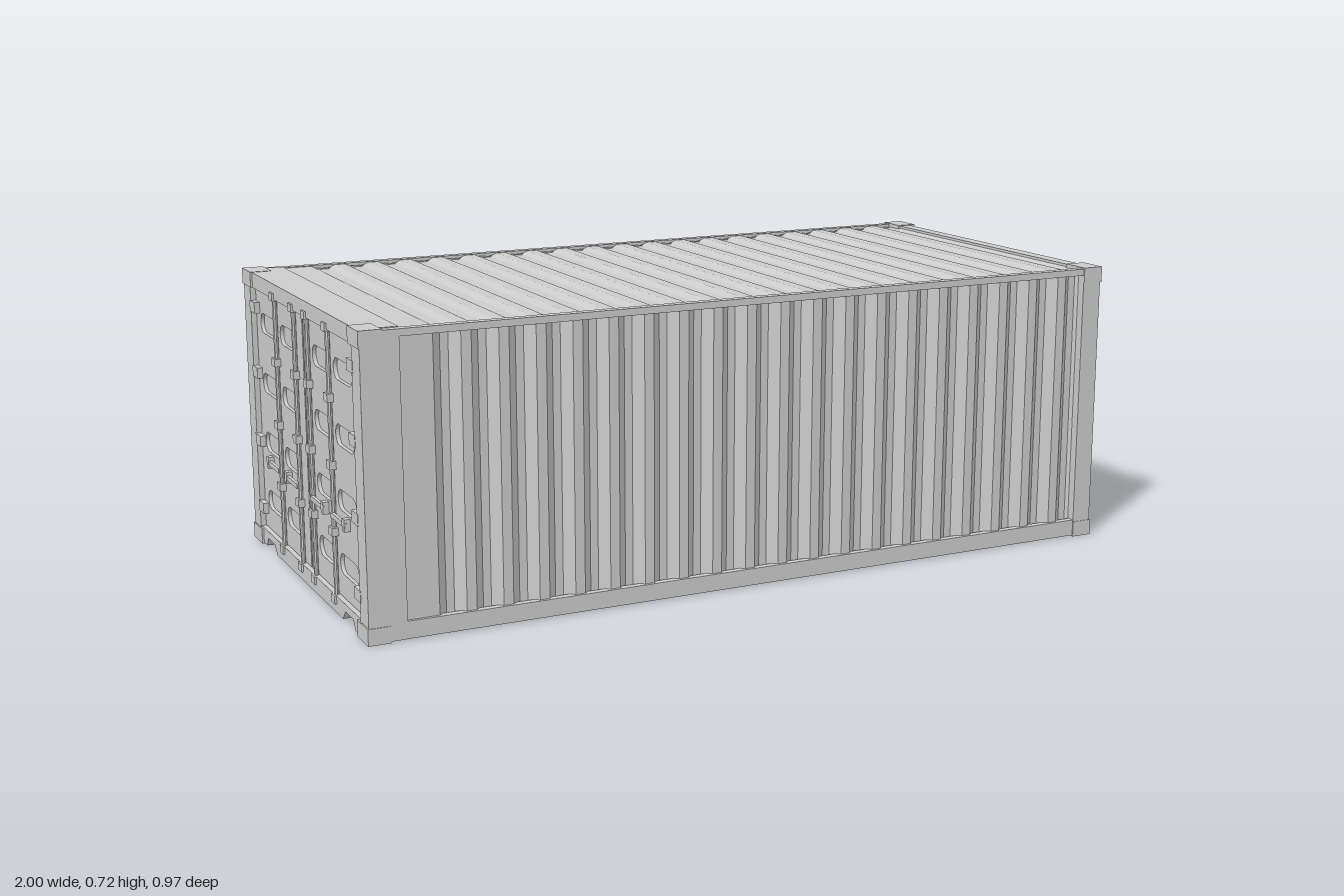
import * as THREE from 'three';

const mat = new THREE.MeshStandardMaterial({ color: 0xcccccc, flatShading: true, side: THREE.DoubleSide });
const H = 0.72, W = 0.483;

function add(group, name, geometry) {
  const mesh = new THREE.Mesh(geometry, mat);
  mesh.name = name;
  group.add(mesh);
  return mesh;
}

// Box given by its low and high corners
function box(group, name, x0, x1, y0, y1, z0, z1) {
  const g = new THREE.BoxGeometry(x1 - x0, y1 - y0, Math.abs(z1 - z0));
  g.translate((x0 + x1) / 2, (y0 + y1) / 2, (z0 + z1) / 2);
  return add(group, name, g);
}

// Trapezoid wave as [along, depth] pairs; each dip is centred on start + k * pitch
function wave(from, to, start, pitch, count, flat, slope, depth) {
  const pts = [[from, 0]];
  for (let k = 0; k < count; k++) {
    const c = start + k * pitch, a = flat / 2, b = a + slope;
    pts.push([c - b, 0], [c - a, -depth], [c + a, -depth], [c + b, 0]);
  }
  pts.push([to, 0]);
  return pts;
}

// Thin pressed sheet: the wave, mapped to 2D and closed by an inner copy
function sheet(pts, map, length) {
  const t = 0.004;
  const outer = pts.map(([u, d]) => map(u, d));
  const inner = pts.map(([u, d]) => map(u, d - t)).reverse();
  const shape = new THREE.Shape([...outer, ...inner].map(([x, y]) => new THREE.Vector2(x, y)));
  return new THREE.ExtrudeGeometry(shape, { depth: length, bevelEnabled: false });
}

// Shape drawn in (z, y), its outer face at x, thickness running inwards to +x
function endPlate(shape, x, thickness) {
  const g = new THREE.ExtrudeGeometry(shape, { depth: thickness, bevelEnabled: false, curveSegments: 6 });
  return g.rotateY(-Math.PI / 2).translate(x + thickness, 0, 0);
}

function slot(z0, z1, y, h) {
  const r = h / 2, p = new THREE.Path();
  p.moveTo(z0 + r, y - r);
  p.lineTo(z1 - r, y - r);
  p.absarc(z1 - r, y, r, -Math.PI / 2, Math.PI / 2, false);
  p.lineTo(z0 + r, y + r);
  p.absarc(z0 + r, y, r, Math.PI / 2, Math.PI * 1.5, false);
  return p;
}

function buildFrame() {
  const g = new THREE.Group();
  g.name = 'frame';
  for (const s of [-1, 1]) {
    // Corner fittings
    for (const y of [0, H - 0.04]) {
      box(g, 'cornerFitting', 0.945, 1, y, y + 0.04, s * 0.405, s * W);
      box(g, 'cornerFitting', -1, -0.945, y, y + 0.04, s * 0.405, s * W);
    }
    // Posts: stepped at the closed end, wide at the door end
    box(g, 'cornerPost', 0.945, 0.997, 0.04, H - 0.04, s * 0.422, s * 0.481);
    box(g, 'cornerPostStep', 0.945, 0.982, 0.04, 0.7, s * 0.38, s * 0.422);
    box(g, 'doorPost', -0.997, -0.905, 0.003, H - 0.003, s * 0.422, s * 0.481);
    // Long rails
    box(g, 'bottomSideRail', -0.95, 0.95, 0.003, 0.045, s * 0.462, s * 0.48);
    box(g, 'topSideRail', -0.95, 0.95, 0.7, 0.717, s * 0.458, s * 0.48);
  }
  // Cross rails
  box(g, 'endBottomRail', 0.96, 0.985, 0.003, 0.04, -0.41, 0.41);
  box(g, 'endTopRail', 0.95, 0.985, 0.7, 0.718, -0.41, 0.41);
  box(g, 'doorHeader', -0.995, -0.96, 0.68, 0.718, -0.42, 0.42);
  box(g, 'headerPlate', -0.995, -0.9, 0.71, 0.719, -0.46, 0.46);
  // Door sill, notched near both corners
  const sill = [[-0.42, 0.003], [-0.375, 0.003], [-0.36, 0.026], [-0.3, 0.026], [-0.28, 0.003]];
  const mirrored = sill.map(([z, y]) => [-z, y]).reverse();
  const outline = [...sill, ...mirrored, [0.42, 0.045], [-0.42, 0.045]];
  add(g, 'doorSill', endPlate(new THREE.Shape(outline.map(p => new THREE.Vector2(...p))), -0.995, 0.025));
  return g;
}

function buildPanels() {
  const g = new THREE.Group();
  g.name = 'panels';
  // Side walls
  const side = wave(-0.92, 0.96, -0.792, 0.0905, 20, 0.02, 0.023, 0.02);
  for (const s of [-1, 1]) {
    const geo = sheet(side, (u, d) => [u, -s * (0.472 + d)], 0.67);
    add(g, 'sideWall', geo.rotateX(-Math.PI / 2).translate(0, 0.04, 0));
  }
  // Closed end wall
  const end = wave(-0.4, 0.4, -0.33, 0.109, 7, 0.034, 0.022, 0.02);
  const endGeo = sheet(end, (u, d) => [0.976 + d, -u], 0.67);
  add(g, 'endWall', endGeo.rotateX(-Math.PI / 2).translate(0, 0.035, 0));
  // Roof, pressed with shallow cross channels
  const roof = wave(-0.93, 0.965, -0.792, 0.0905, 20, 0.026, 0.018, 0.008);
  add(g, 'roof', sheet(roof, (u, d) => [u, 0.715 + d], 0.93).translate(0, 0, -0.465));
  // Raised floor
  box(g, 'floor', -0.975, 0.965, 0.026, 0.036, -0.465, 0.465);
  return g;
}

function buildDoor(s) {
  const g = new THREE.Group();
  g.name = s > 0 ? 'leftDoor' : 'rightDoor';
  const a = 0.004, b = 0.418;
  const leaf = new THREE.Shape([[s * a, 0.047], [s * b, 0.047], [s * b, 0.678], [s * a, 0.678]]
    .map(p => new THREE.Vector2(...p)));
  // Pressed slots between the locking bars
  for (const y of [0.13, 0.285, 0.44, 0.595])
    for (const [i, o] of [[0.075, 0.2], [0.24, 0.38]])
      leaf.holes.push(slot(Math.min(s * i, s * o), Math.max(s * i, s * o), y, 0.05));
  add(g, 'doorLeaf', endPlate(leaf, -0.984, 0.01));
  box(g, 'doorBacking', -0.975, -0.968, 0.045, 0.68, s * 0.002, s * 0.42);
  // Locking bars with keepers, guides and handles
  for (const z of [0.055, 0.22]) {
    const bar = add(g, 'lockingBar', new THREE.CylinderGeometry(0.006, 0.006, 0.66, 8));
    bar.position.set(-0.99, 0.362, s * z);
    for (const y of [0.035, 0.2, 0.36, 0.52, 0.685])
      box(g, 'barGuide', -1, -0.982, y - 0.01, y + 0.01, s * (z - 0.014), s * (z + 0.014));
    box(g, 'handle', -0.998, -0.99, 0.234, 0.246, s * z, s * (z + 0.11));
    box(g, 'handleCatch', -0.999, -0.982, 0.225, 0.255, s * (z + 0.09), s * (z + 0.108));
  }
  // Hinges
  for (const y of [0.1, 0.28, 0.46, 0.63])
    box(g, 'hinge', -0.998, -0.98, y - 0.014, y + 0.014, s * 0.385, s * 0.43);
  return g;
}

export function createModel() {
  const model = new THREE.Group();
  model.name = 'cargoContainer';
  model.add(buildFrame(), buildPanels(), buildDoor(1), buildDoor(-1));
  return model;
}
